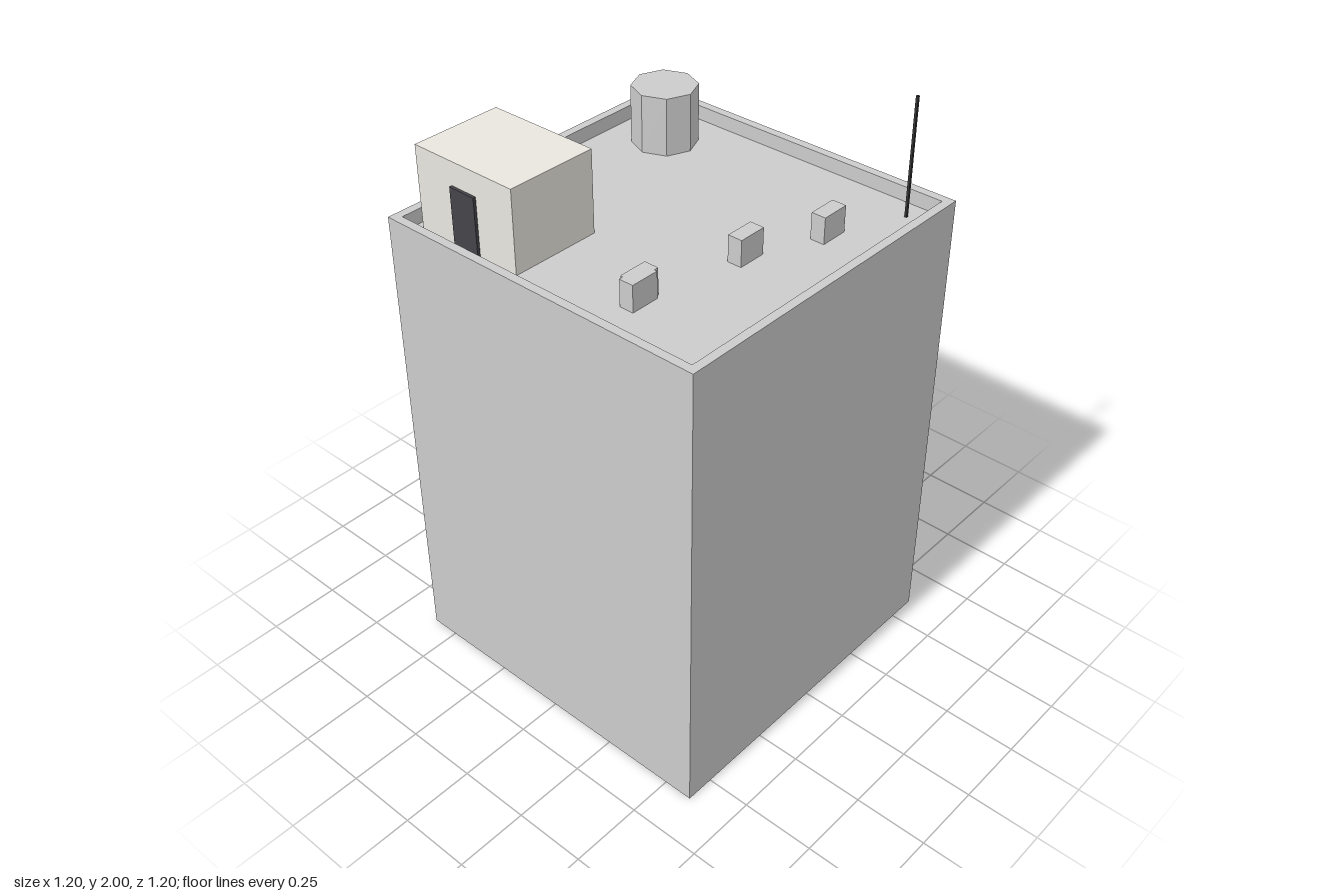
import * as THREE from 'three';

const ROOF = 1.6; // height of the roof deck, below the parapet rim

const grey = new THREE.MeshStandardMaterial({ color: 0xcccccc, flatShading: true, side: THREE.DoubleSide });
const paleStone = new THREE.MeshStandardMaterial({ color: 0xe8e6df });
const darkMetal = new THREE.MeshStandardMaterial({ color: 0x44444a });
const mastMetal = new THREE.MeshStandardMaterial({ color: 0x333333 });

export function createModel() {
  const model = new THREE.Group();
  model.name = 'building';

  const add = (name, geometry, material, x, y, z) => {
    const mesh = new THREE.Mesh(geometry, material);
    mesh.name = name;
    mesh.position.set(x, y, z);
    model.add(mesh);
    return mesh;
  };

  // Box standing on the roof deck, given its centre in plan
  const roofBox = (name, w, h, d, x, z, material) =>
    add(name, new THREE.BoxGeometry(w, h, d), material, x, ROOF + h / 2, z);

  // Walls and parapet: a square sweep of one profile, open underneath
  const profile = [[0.6, 0], [0.6, 1.65], [0.57, 1.65], [0.57, ROOF]]
    .map(([half, y]) => new THREE.Vector2(half * Math.SQRT2, y));
  const shell = new THREE.LatheGeometry(profile, 4, Math.PI / 4).toNonIndexed();
  shell.computeVertexNormals();
  add('wallsAndParapet', shell, grey, 0, 0, 0);

  // Roof deck inside the parapet
  const deck = new THREE.PlaneGeometry(1.14, 1.14).rotateX(-Math.PI / 2);
  add('roofDeck', deck, grey, 0, ROOF, 0);

  // Stair house with its door on the right-hand side
  roofBox('stairHouse', 0.32, 0.28, 0.4, -0.36, -0.34, paleStone);
  roofBox('stairHouseDoor', 0.01, 0.2, 0.1, -0.525, -0.34, darkMetal);

  // Eight-sided water tank
  add('waterTank', new THREE.CylinderGeometry(0.11, 0.11, 0.2, 8), grey, 0.38, ROOF + 0.1, -0.38);

  // Ventilation units; the first two overlap
  const vents = [[-0.375, 0.205], [-0.39, 0.215], [-0.01, 0.285], [0.25, 0.385]];
  vents.forEach(([x, z], i) => roofBox(`ventUnit${i + 1}`, 0.1, 0.09, 0.05, x, z, grey));

  // Antenna mast
  roofBox('antenna', 0.008, 0.4, 0.008, 0.496, 0.496, mastMetal);

  return model;
}
